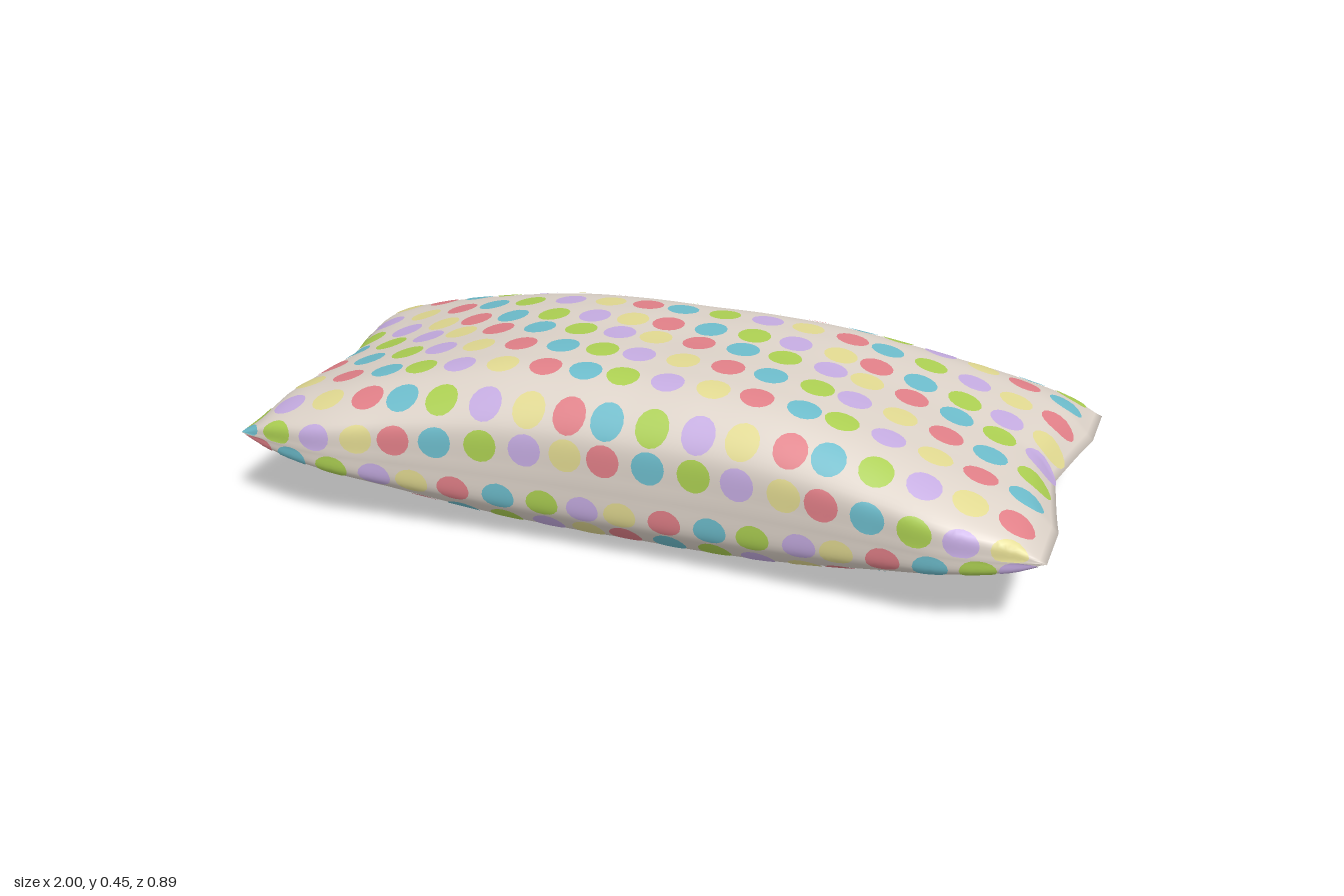
import * as THREE from 'three';
import { mergeVertices } from 'three/addons/utils/BufferGeometryUtils.js';

const paint = (name, color) => {
  const m = new THREE.MeshStandardMaterial({ color });
  m.name = name;
  return m;
};

// Smooth curve through [position, value] knots
function curve(knots) {
  const n = knots.length - 1;
  const slope = (i) => {
    const a = knots[Math.max(i - 1, 0)], b = knots[Math.min(i + 1, n)];
    return (b[1] - a[1]) / (b[0] - a[0]);
  };
  return (x) => {
    let i = 0;
    while (i < n - 1 && x > knots[i + 1][0]) i++;
    const [x0, y0] = knots[i], [x1, y1] = knots[i + 1];
    const d = x1 - x0, t = (x - x0) / d, s = 1 - t;
    return y0 * (1 + 2 * t) * s * s + slope(i) * d * t * s * s
      + y1 * t * t * (3 - 2 * t) - slope(i + 1) * d * t * t * s;
  };
}

// Half-width of the seam and loft along the length; spread and loft across the width
const seamWidth = curve([[0, 0.385], [0.2, 0.387], [0.4, 0.4], [0.6, 0.421], [0.79, 0.441], [1, 0.41]]);
const loftLong = curve([[0, 1], [0.17, 1], [0.37, 0.93], [0.6, 0.73], [0.8, 0.49], [0.93, 0.29], [1, 0]]);
const spread = curve([[0, 0], [0.32, 0.42], [0.6, 0.73], [0.83, 0.97], [1, 1]]);
const loftWide = curve([[0, 1], [0.32, 1], [0.6, 0.9], [0.83, 0.5], [1, 0]]);
const SEAM_Y = 0.21;

// The ends are drawn inward around the middle of their width
const pinch = (u, v) => 1 - 0.05 * Math.max(0, 1 - Math.abs(v) / 0.5) * Math.abs(u) ** 3;

// Point on the cushion: u along the length, v across the cloth, side +1 top or -1 bottom
function point(u, v, side) {
  const au = Math.abs(u), av = Math.abs(v);
  const height = (side > 0 ? 0.235 : 0.206) * loftLong(au) * loftWide(av);
  return new THREE.Vector3(u * pinch(u, v), SEAM_Y + side * height, Math.sign(v) * spread(av) * seamWidth(au));
}

const clamp = (x) => THREE.MathUtils.clamp(x, -1, 1);

function normal(u, v, side) {
  const e = 0.01;
  const du = point(clamp(u + e), v, side).sub(point(clamp(u - e), v, side));
  const dv = point(u, clamp(v + e), side).sub(point(u, clamp(v - e), side));
  return dv.cross(du).multiplyScalar(side).normalize();
}

// Closed cushion, both halves welded along the seam
function cushionGeometry() {
  const nu = 120, nv = 80, pos = [], index = [];
  for (const side of [1, -1]) {
    const base = pos.length / 3;
    for (let j = 0; j <= nv; j++) {
      for (let i = 0; i <= nu; i++) {
        pos.push(...point((i / nu) * 2 - 1, (j / nv) * 2 - 1, side).toArray());
        if (i === nu || j === nv) continue;
        const a = base + j * (nu + 1) + i, b = a + 1, c = a + nu + 1, d = c + 1;
        if (side > 0) index.push(a, c, b, b, c, d);
        else index.push(a, b, c, b, d, c);
      }
    }
  }
  const g = new THREE.BufferGeometry();
  g.setAttribute('position', new THREE.Float32BufferAttribute(pos, 3));
  g.setIndex(index);
  const welded = mergeVertices(g, 1e-5);
  welded.computeVertexNormals();
  return welded;
}

// Adds one round spot lying just above the cloth
function addSpot(data, x0, row, side) {
  const seg = 16, rings = [0.35, 0.7, 1], base = data.pos.length / 3;
  const fromMiddle = Math.abs(row);
  // spots on the steep sides span more of the cloth where the side gets low
  const rv = fromMiddle > 0.84 ? 0.058 + 0.07 * Math.abs(x0) ** 3 : 0.08;
  // rows on the flat faces run straight, those near the seam follow it
  const straight = fromMiddle < 0.77 ? 1 : fromMiddle < 0.84 ? 0.5 : 0;
  const add = (dx, dv) => {
    const x = clamp(x0 + dx);
    const v = clamp((row + dv) * (0.385 / seamWidth(Math.abs(x))) ** straight);
    const u = clamp(x / pinch(x, v));
    const n = normal(u, v, side);
    data.pos.push(...point(u, v, side).addScaledVector(n, 0.002).toArray());
    data.nor.push(...n.toArray());
  };
  add(0, 0);
  for (const r of rings) {
    for (let k = 0; k < seg; k++) {
      const t = (k / seg) * Math.PI * 2;
      add(0.041 * r * Math.cos(t), rv * r * Math.sin(t));
    }
  }
  const tri = (a, b, c) => (side > 0 ? data.index.push(a, c, b) : data.index.push(a, b, c));
  for (let k = 0; k < seg; k++) {
    const next = (k + 1) % seg;
    tri(base, base + 1 + k, base + 1 + next);
    for (let r = 0; r < rings.length - 1; r++) {
      const a = base + 1 + r * seg + k, b = base + 1 + r * seg + next;
      tri(a, a + seg, b + seg);
      tri(a, b + seg, b);
    }
  }
}

export function createModel() {
  const group = new THREE.Group();
  group.name = 'cushion';

  const body = new THREE.Mesh(cushionGeometry(), paint('cream cloth', 0xdcd2c8));
  body.name = 'cushionBody';
  group.add(body);

  // Spots in diagonal bands of five colours, the bottom offset by one step
  const colours = [['red', 0xe07f87], ['blue', 0x6dbccb], ['green', 0xaccf52], ['purple', 0xc4abe0], ['yellow', 0xe0d890]];
  const columns = [-0.99, -0.89, -0.78, -0.67, -0.575, -0.47, -0.355, -0.243, -0.14, -0.045,
    0.067, 0.18, 0.286, 0.4, 0.49, 0.6, 0.71, 0.815, 0.92];
  const faces = [
    { side: 1, step: 0, shift: 0, rows: [-0.94, -0.81, -0.63, -0.365, -0.138, 0.04, 0.267, 0.51, 0.76, 0.91] },
    { side: -1, step: 1, shift: 0.04, rows: [-0.91, -0.76, -0.58, -0.34, -0.11, 0.06, 0.267, 0.51, 0.74, 0.885] },
  ];
  const spots = colours.map(() => ({ pos: [], nor: [], index: [] }));
  for (const { side, step, shift, rows } of faces) {
    columns.forEach((x, c) => rows.forEach((v, r) => {
      addSpot(spots[(c - r - step + 20) % 5], Math.min(x + shift, 0.94), v, side);
    }));
  }
  spots.forEach((data, i) => {
    const g = new THREE.BufferGeometry();
    g.setAttribute('position', new THREE.Float32BufferAttribute(data.pos, 3));
    g.setAttribute('normal', new THREE.Float32BufferAttribute(data.nor, 3));
    g.setIndex(data.index);
    const mesh = new THREE.Mesh(g, paint(colours[i][0] + ' spot', colours[i][1]));
    mesh.name = colours[i][0] + 'Spots';
    group.add(mesh);
  });
  return group;
}
